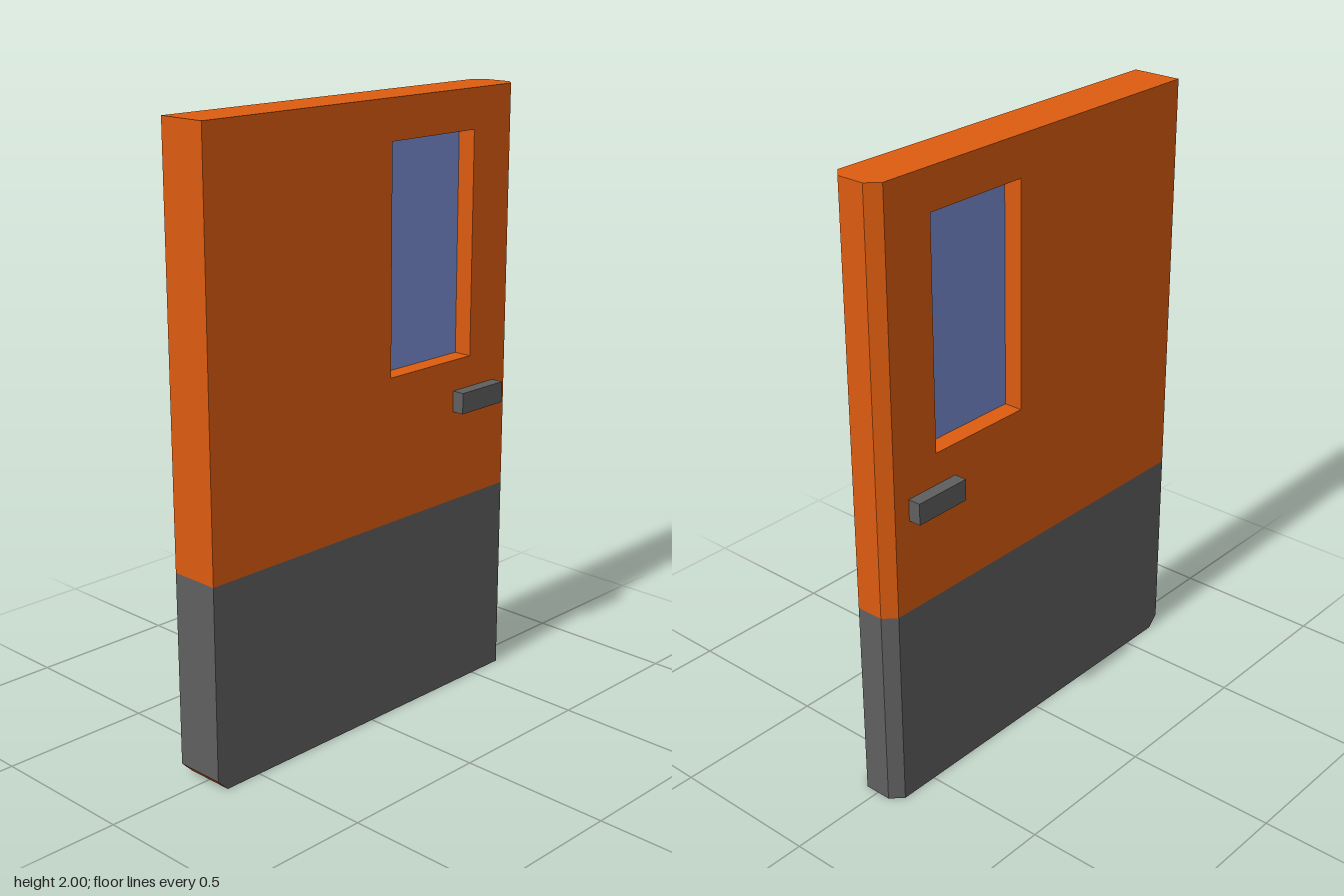
import * as THREE from 'three';

const T = 0.083;              // half thickness
const L = 0.667;              // half width (front and back ends)
const C = 0.037;              // bevel size
const SPLIT = 0.663;          // height of the kick panel
const B = L - C, N = T - C;   // where the bevels start and end

const material = (color) => new THREE.MeshStandardMaterial({ color, flatShading: true });
const orange = material(0xdd5c10);
const grey = material(0x5f5f5f);
const glass = material(0x7a8dd4);

function add(group, name, geometry, mat) {
  const mesh = new THREE.Mesh(geometry, mat);
  mesh.name = name;
  group.add(mesh);
  return mesh;
}

// Flat-shaded surface from convex polygons, corners counter-clockwise from outside
function faces(polygons) {
  const p = [];
  for (const c of polygons)
    for (let i = 1; i < c.length - 1; i++) p.push(...c[0], ...c[i], ...c[i + 1]);
  const g = new THREE.BufferGeometry();
  g.setAttribute('position', new THREE.Float32BufferAttribute(p, 3));
  g.computeVertexNormals();
  return g;
}

const mirror = (polygon) => polygon.map(([x, y, z]) => [-x, y, z]).reverse();

// Bevelled back edge between two heights
function backEdge(y0, y1) {
  const bevel = [[T, y0, -B], [N, y0, -L], [N, y1, -L], [T, y1, -B]];
  const end = [[N, y0, -L], [-N, y0, -L], [-N, y1, -L], [N, y1, -L]];
  return [bevel, mirror(bevel), end];
}

// Rectangle in the side plane, with z running from zFront back to zBack
function rectangle(Type, zFront, zBack, y0, y1) {
  return new Type([[zFront, y0], [zBack, y0], [zBack, y1], [zFront, y1]]
    .map(([z, y]) => new THREE.Vector2(-z, y)));
}

export function createModel() {
  const door = new THREE.Group();
  door.name = 'door';

  // Upper panel with the window opening
  const win = { front: -0.08, back: -0.455, bottom: 1.14, top: 1.87 };
  const shape = rectangle(THREE.Shape, L, -B, SPLIT, 2);
  shape.holes.push(rectangle(THREE.Path, win.front, win.back, win.bottom, win.top));
  const upper = new THREE.ExtrudeGeometry(shape, { depth: 2 * T, bevelEnabled: false });
  upper.translate(0, 0, -T).rotateY(Math.PI / 2);
  add(door, 'upperPanel', upper, orange);

  const topCap = [[-T, 2, -B], [T, 2, -B], [N, 2, -L], [-N, 2, -L]];
  add(door, 'upperBackEdge', faces([...backEdge(SPLIT, 2), topCap]), orange);

  // Kick panel, its lower front corner cut off
  const side = [[T, 0, B], [T, 0, -B], [T, SPLIT, -B], [T, SPLIT, L], [T, C, L]];
  const front = [[-T, C, L], [T, C, L], [T, SPLIT, L], [-T, SPLIT, L]];
  add(door, 'kickPanel', faces([side, mirror(side), front, ...backEdge(0, SPLIT)]), grey);

  // Underside and the sloped cut at the front
  const slope = [[-T, 0, B], [T, 0, B], [T, C, L], [-T, C, L]];
  const bottom = [[-N, 0, -L], [N, 0, -L], [T, 0, -B], [T, 0, B], [-T, 0, B], [-T, 0, -B]];
  add(door, 'underside', faces([slope, bottom]), orange);

  // Window pane set in the middle of the opening
  const pane = new THREE.BoxGeometry(0.042, win.top - win.bottom, win.front - win.back);
  add(door, 'windowPane', pane, glass)
    .position.set(0, (win.top + win.bottom) / 2, (win.front + win.back) / 2);

  // One handle on each side
  for (const s of [1, -1]) {
    add(door, s > 0 ? 'leftHandle' : 'rightHandle', new THREE.BoxGeometry(0.042, 0.07, 0.197), grey)
      .position.set(s * (T + 0.021), 1.002, -0.474);
  }
  return door;
}
